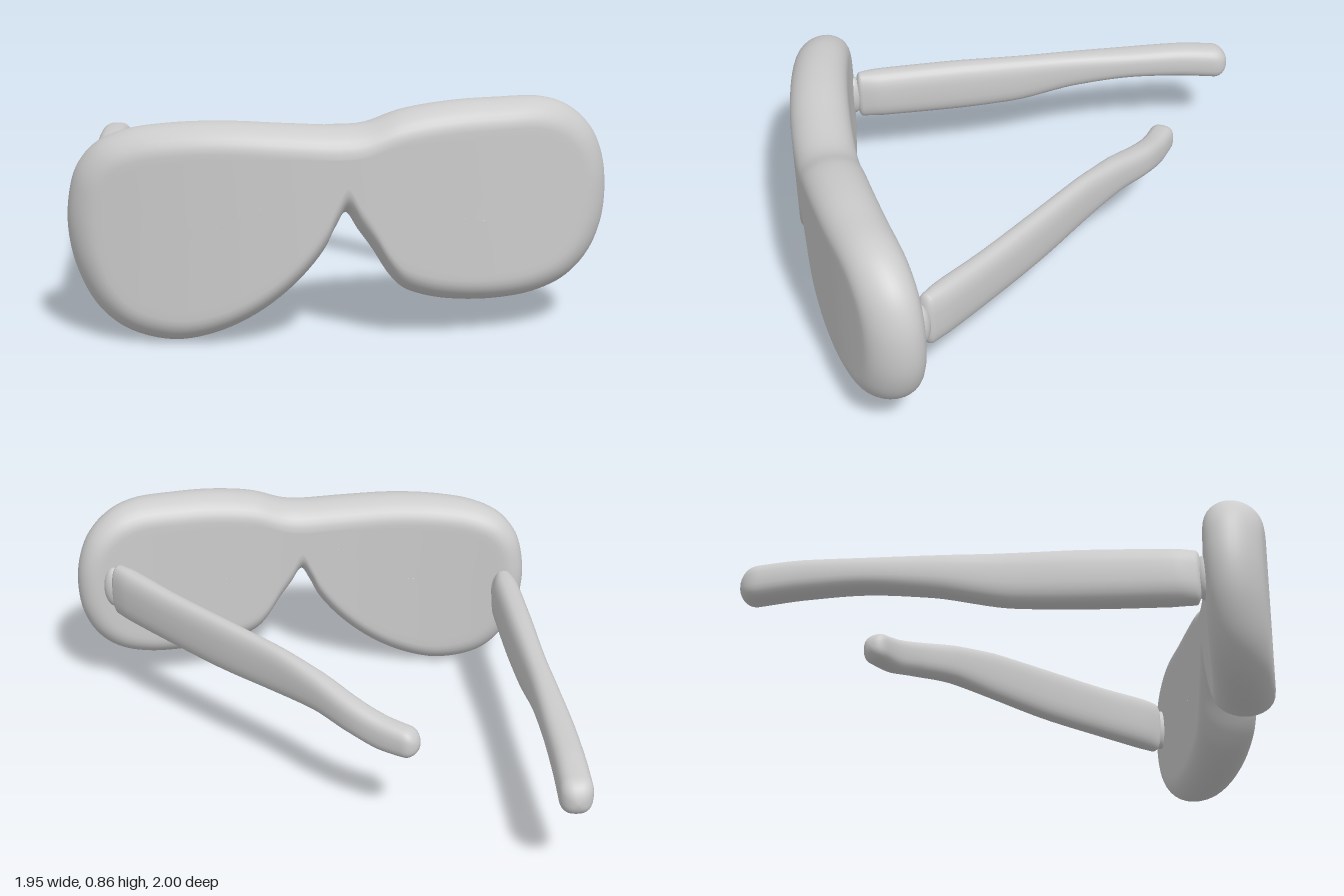
import * as THREE from 'three';

const material = new THREE.MeshStandardMaterial({ color: 0xcccccc, roughness: 0.7 });

// Skin a list of closed rings (each counter-clockwise about the direction of travel)
function skin(name, rings) {
  const n = rings[0].length, pos = [], idx = [];
  rings.forEach(r => r.forEach(p => pos.push(p.x, p.y, p.z)));
  for (let i = 0; i < rings.length - 1; i++) {
    for (let j = 0; j < n; j++) {
      const a = i * n + j, b = i * n + (j + 1) % n;
      idx.push(a, b, b + n, a, b + n, a + n);
    }
  }
  const geo = new THREE.BufferGeometry();
  geo.setAttribute('position', new THREE.Float32BufferAttribute(pos, 3));
  geo.setIndex(idx);
  geo.computeVertexNormals();
  const mesh = new THREE.Mesh(geo, material);
  mesh.name = name;
  return mesh;
}

// Front outline, from the top of the bridge round the right lens, the nose notch and the left lens
const OUTLINE = [
  [0, 0.78], [-0.2, 0.787], [-0.42, 0.797], [-0.6, 0.79], [-0.76, 0.765], [-0.87, 0.715],
  [-0.94, 0.63], [-0.97, 0.52], [-0.975, 0.4], [-0.95, 0.27], [-0.88, 0.13], [-0.78, 0.045],
  [-0.62, 0.005], [-0.47, 0.03], [-0.32, 0.1], [-0.18, 0.21], [-0.08, 0.33], [-0.04, 0.41],
  [0, 0.47], [0.05, 0.4], [0.1, 0.33], [0.16, 0.235], [0.21, 0.185], [0.3, 0.15],
  [0.42, 0.13], [0.56, 0.125], [0.7, 0.14], [0.82, 0.185], [0.91, 0.27], [0.96, 0.38],
  [0.975, 0.5], [0.96, 0.63], [0.91, 0.74], [0.82, 0.82], [0.72, 0.855], [0.55, 0.86],
  [0.38, 0.855], [0.2, 0.83], [0.08, 0.79],
];

// One-piece front: a thick slab with rounded edges, bent backwards at both ends
function makeFront() {
  const curve = new THREE.CatmullRomCurve3(
    OUTLINE.map(([x, y]) => new THREE.Vector3(x, y, 0)), true, 'centripetal');
  const edge = curve.getPoints(200).slice(0, -1);
  const spine = edge.map(p => {
    const x = THREE.MathUtils.clamp(p.x * 0.8, -0.62, 0.62);
    return new THREE.Vector3(x, 0.64 - 0.2 * THREE.MathUtils.smoothstep(Math.abs(x), 0, 0.5), 0);
  });
  const rimWidth = 0.1, half = 0.12;

  // inset is the distance from the edge, fill the remaining share of the way to the spine
  const ring = (inset, fill, z) => edge.map((p, i) => {
    const t = Math.min(1, inset / p.distanceTo(spine[i]));
    const q = p.clone().lerp(spine[i], t + (1 - t) * fill);
    const taper = 1 - 0.1 * Math.min(1, (q.x / 0.95) ** 2);
    q.z = 0.88 - 0.125 * (q.x / 0.95) ** 2 + z * taper;
    return q;
  });

  const rings = [];
  for (const f of [1, 0.75, 0.5, 0.25, 0.1]) rings.push(ring(rimWidth, f, -half));
  for (let k = -8; k <= 8; k++) {
    const a = k / 8 * Math.PI / 2;
    rings.push(ring(rimWidth * (1 - Math.cos(a)), 0, half * Math.sin(a)));
  }
  for (const f of [0.1, 0.25, 0.5, 0.75, 1]) rings.push(ring(rimWidth, f, half));
  return skin('frontFrame', rings);
}

// Temple arm from stations [x, z, bottom, top, width], with rounded ends
function makeArm(name, stations) {
  const path = new THREE.CatmullRomCurve3(
    stations.map(([x, z]) => new THREE.Vector3(x, 0, z)));
  const size = new THREE.CatmullRomCurve3(
    stations.map(([, , bottom, top, width]) => new THREE.Vector3(bottom, top, width)));
  const steps = 64, sides = 28, rings = [];
  const length = path.getLength();
  const bulge = v => Math.sign(v) * Math.abs(v) ** 0.75;
  for (let i = 0; i <= steps; i++) {
    const t = (1 - Math.cos(Math.PI * i / steps)) / 2;
    const p = path.getPoint(t), s = size.getPoint(t), dir = path.getTangent(t);
    const side = new THREE.Vector3(dir.z, 0, -dir.x);
    const dome = (d, r) => Math.sqrt(1 - (1 - Math.min(1, d / r)) ** 2);
    const scale = dome(t * length, 0.05) * dome((1 - t) * length, 0.07);
    const mid = (s.x + s.y) / 2, halfHeight = (s.y - s.x) / 2 * scale;
    const ring = [];
    for (let j = 0; j < sides; j++) {
      const a = j / sides * Math.PI * 2;
      const q = p.clone().addScaledVector(side, s.z / 2 * scale * bulge(Math.cos(a)));
      q.y = mid + halfHeight * bulge(Math.sin(a));
      ring.push(q);
    }
    rings.push(ring);
  }
  return skin(name, rings);
}

// Small hinge joining an arm to the frame
function makeHinge(name, x, y, z) {
  const mesh = new THREE.Mesh(new THREE.SphereGeometry(1, 20, 14), material);
  mesh.name = name;
  mesh.scale.set(0.045, 0.09, 0.04);
  mesh.position.set(x, y, z);
  return mesh;
}

export function createModel() {
  const group = new THREE.Group();
  group.name = 'sunglasses';
  group.add(makeFront());

  // Right arm stands open
  group.add(makeArm('rightArm', [
    [-0.868, 0.66, 0.29, 0.5, 0.08], [-0.865, 0.55, 0.285, 0.505, 0.12],
    [-0.852, 0.25, 0.28, 0.505, 0.12], [-0.842, -0.03, 0.285, 0.495, 0.11],
    [-0.835, -0.3, 0.33, 0.485, 0.11], [-0.825, -0.55, 0.345, 0.475, 0.12],
    [-0.81, -0.78, 0.33, 0.47, 0.125], [-0.792, -1, 0.3, 0.445, 0.13],
  ]));
  group.add(makeHinge('rightHinge', -0.87, 0.395, 0.67));

  // Left arm is partly folded inwards
  group.add(makeArm('leftArm', [
    [0.815, 0.66, 0.41, 0.635, 0.07], [0.74, 0.565, 0.405, 0.635, 0.1],
    [0.6, 0.385, 0.4, 0.622, 0.095], [0.4, 0.145, 0.39, 0.61, 0.09],
    [0.2, -0.085, 0.395, 0.593, 0.085], [0.06, -0.25, 0.4, 0.56, 0.095],
    [-0.06, -0.395, 0.375, 0.515, 0.1], [-0.16, -0.48, 0.345, 0.48, 0.1],
    [-0.283, -0.565, 0.34, 0.455, 0.105],
  ]));
  group.add(makeHinge('leftHinge', 0.82, 0.52, 0.67));

  return group;
}
